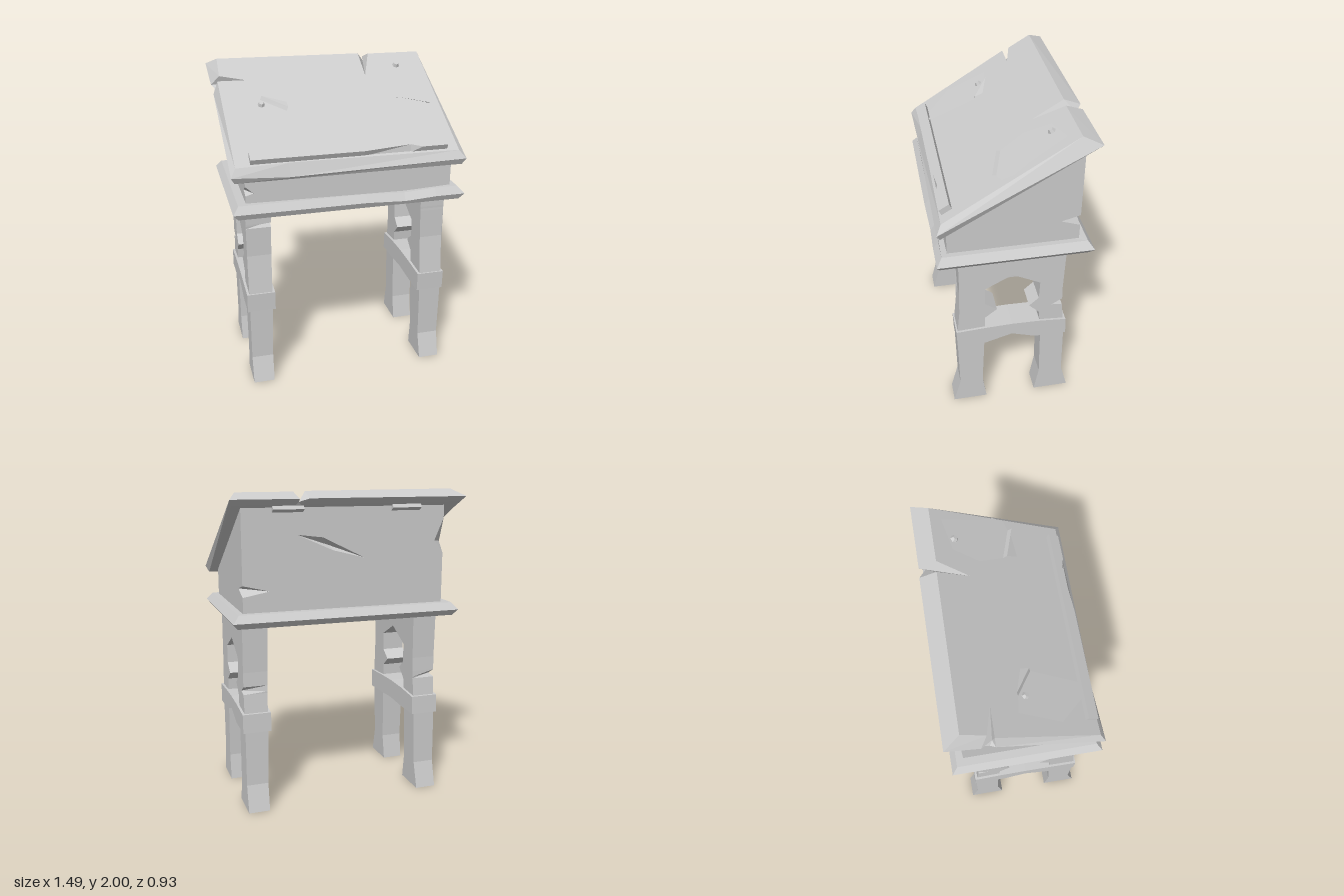
import * as THREE from 'three';

const grey = new THREE.MeshStandardMaterial({ color: 0xcccccc, flatShading: true });
const sheet = new THREE.MeshStandardMaterial({ color: 0xcccccc, flatShading: true, side: THREE.DoubleSide });
const V = (p) => new THREE.Vector3(...p);

// Triangles of one flat polygon (corners counter-clockwise from outside), with optional holes
function facet(points, holes = []) {
  const pts = points.map(V), n = new THREE.Vector3();
  pts.forEach((p, i) => n.add(p.clone().cross(pts[(i + 1) % pts.length])));
  if (n.length() < 1e-9) return [];
  n.normalize();
  const u = pts[1].clone().sub(pts[0]).normalize(), v = n.clone().cross(u);
  const flat = (p) => new THREE.Vector2(p.dot(u), p.dot(v));
  const holePts = holes.map((h) => h.map(V));
  const all = [...pts, ...holePts.flat()];
  return THREE.ShapeUtils.triangulateShape(pts.map(flat), holePts.map((h) => h.map(flat)))
    .flat().flatMap((i) => all[i].toArray());
}

function solid(name, triangles, material = grey) {
  const geo = new THREE.BufferGeometry();
  geo.setAttribute('position', new THREE.Float32BufferAttribute(triangles.flat(), 3));
  geo.computeVertexNormals();
  const mesh = new THREE.Mesh(geo, material);
  mesh.name = name;
  return mesh;
}

// Closed solid through rings listed bottom to top, each counter-clockwise from above
function loft(name, rings) {
  const tris = [facet([...rings[0]].reverse()), facet(rings[rings.length - 1])];
  for (let r = 0; r + 1 < rings.length; r++) {
    const a = rings[r], b = rings[r + 1];
    a.forEach((p, i) => {
      const j = (i + 1) % a.length;
      tris.push(facet([p, a[j], b[j]]), facet([p, b[j], b[i]]));
    });
  }
  return solid(name, tris);
}

// Profile in (z, y) extruded along x; the rule moves each vertex (outer: on the outside face)
function sidePanel(name, profile, side, rule) {
  const shape = new THREE.Shape(profile.map(([z, y]) => new THREE.Vector2(-z, y)));
  const geo = new THREE.ExtrudeGeometry(shape, { depth: 1, bevelEnabled: false }).rotateY(Math.PI / 2);
  const pos = geo.attributes.position, p = new THREE.Vector3();
  for (let i = 0; i < pos.count; i++) {
    p.fromBufferAttribute(pos, i);
    rule(p, (p.x > 0.5) === (side > 0));
    pos.setXYZ(i, p.x, p.y, p.z);
  }
  geo.computeVertexNormals();
  const mesh = new THREE.Mesh(geo, grey);
  mesh.name = name;
  return mesh;
}

// Sloping board surface: point at (x, z), raised by h along the surface normal
const slope = 0.6, tilt = Math.atan(slope);
const onBoard = (x, z, h = 0) =>
  [x, 1.52 + slope * (0.43 - z) + h * Math.cos(tilt), z + h * Math.sin(tilt)];

function makeLegFrame(side) {
  const frame = new THREE.Group();
  frame.name = side > 0 ? 'leftLegFrame' : 'rightLegFrame';
  const mid = 0.0125; // the frames stand slightly off centre
  const near = (a, b) => Math.abs(a - b) < 1e-3;
  const legs = [
    [0.395, 0], [0.175, 0], [0.2, 0.17], [0.185, 0.55], [0.18, 0.73], [0.105, 0.79], [0.18, 0.845],
    [0.18, 0.965], [0.01, 1.055], [-0.165, 0.965], [-0.16, 0.84], [-0.1, 0.785], [-0.165, 0.72],
    [-0.18, 0.55], [-0.185, 0.17], [-0.155, 0], [-0.385, 0], [-0.34, 0.17], [-0.335, 0.55],
    [-0.312, 0.76], [-0.245, 0.77], [-0.312, 0.81], [-0.31, 0.9], [-0.32, 1.22],
    [0.34, 1.22], [0.337, 1.12], [0.28, 1.105], [0.336, 1.09], [0.33, 0.9], [0.36, 0.6], [0.35, 0.17],
  ];
  frame.add(sidePanel('legs', legs, side, (p, outer) => {
    // chips bite into one face only
    if (near(p.z, -0.245) && !outer) p.z = -0.312;
    if (near(p.z, 0.28) && (outer || side > 0)) p.z = 0.336;
    p.x = mid + side * (outer ? 0.648 : 0.513 - 0.025 * p.y / 1.2);
  }));
  const bar = [
    [0.365, 0.645], [0.36, 0.52], [0.18, 0.525], [0.01, 0.575], [-0.14, 0.525], [-0.345, 0.52],
    [-0.34, 0.64], [-0.16, 0.655], [0.01, 0.66], [0.18, 0.655],
  ];
  frame.add(sidePanel('crossBar', bar, side, (p, outer) => {
    if (near(p.y, 0.575) && !outer) p.y = 0.535;
    p.x = mid + side * (outer ? 0.663 : 0.483);
  }));
  return frame;
}

function makeCabinet() {
  const x0 = -0.635, x1 = 0.665, zf = 0.4, zb = -0.385, y0 = 1.27, yf = 1.465, yb = 1.91;
  // each corner chip: top, bottom, left apex, right apex as seen from outside
  const c = [[x1, 1.45, zb], [x1, 1.38, zb], [x1, 1.42, -0.27], [0.5, 1.41, zb]];
  const d = [[x0, 1.82, zb], [x0, 1.6, zb], [-0.575, 1.68, zb], [x0, 1.67, -0.33]];
  const e = [[x0, 1.39, zf], [x0, 1.33, zf], [x0, 1.35, 0.33], [-0.585, 1.345, zf]];
  const gouge = [[0.33, 1.74, zb], [0.1, 1.64, zb], [-0.1, 1.59, zb], [0.167, 1.72, zb]];
  const tris = [
    facet([[x0, y0, zf], [x1, y0, zf], [x1, yf, zf], [x0, yf, zf], e[0], e[3], e[1]]),
    facet([[x1, y0, zf], [x1, y0, zb], c[1], c[2], c[0], [x1, yb, zb], [x1, yf, zf]]),
    facet([[x1, y0, zb], [x0, y0, zb], d[1], d[2], d[0], [x0, yb, zb], [x1, yb, zb], c[0], c[3], c[1]], [gouge]),
    facet([[x0, y0, zb], [x0, y0, zf], e[1], e[2], e[0], [x0, yf, zf], [x0, yb, zb], d[0], d[3], d[1]]),
  ];
  for (const [top, low, l, r] of [c, d, e]) tris.push(facet([top, l, r]), facet([low, r, l]));
  gouge.forEach((p, i) => tris.push(facet([p, gouge[(i + 1) % 4], [0.12, 1.67, -0.34]])));
  return solid('cabinet', tris);
}

function makeBoard() {
  // outlines in (x, z) with grooves at the back edge and at one side
  const low = [[-0.7, 0.44], [-0.37, 0.44], [0.72, 0.44], [0.72, -0.41], [0.34, -0.41], [0.31, -0.41],
    [0.27, -0.41], [-0.72, -0.42], [-0.715, -0.27], [-0.715, -0.22], [-0.71, -0.18]];
  const middle = [[-0.72, 0.46], [-0.37, 0.45], [0.74, 0.46], [0.74, -0.455], [0.33, -0.456], [0.325, -0.42],
    [0.27, -0.46], [-0.745, -0.465], [-0.735, -0.27], [-0.69, -0.205], [-0.73, -0.19]];
  const top = [[-0.69, 0.43], [-0.37, 0.42], [0.7, 0.43], [0.69, -0.35], [0.34, -0.352], [0.27, -0.175],
    [0.27, -0.358], [-0.68, -0.37], [-0.685, -0.23], [-0.52, -0.187], [-0.7, -0.19]];
  return loft('slopingBoard', [
    low.map(([x, z]) => [x, 1.43 + 0.57 * (0.44 - z), z]),
    middle.map(([x, z]) => [x, 1.47 + 0.525 * (0.46 - z) - (z === 0.45 ? 0.03 : 0), z]),
    top.map(([x, z]) => onBoard(x, z)),
  ]);
}

// Paper sheet lifting towards its lower end, creased along a-b with a raised tip
function makePaper(name, body, a, b, tip, zTop, shift) {
  const at = ([x, z], up = 0) => onBoard(x, z, 0.006 + Math.max(0, z - zTop) * 0.05 + up);
  const a2 = at([a[0] + shift[0], a[1] + shift[1]], 0.018), b2 = at([b[0] + shift[0], b[1] + shift[1]], 0.018);
  return solid(name, [
    facet(body.map((p) => at(p))), facet([at(a), at(b), b2, a2]),
    facet([a2, b2, ...tip.map((p) => at(p, 0.01))]),
  ], sheet);
}

export function createModel() {
  const model = new THREE.Group();
  model.name = 'writingDesk';
  model.add(makeLegFrame(1), makeLegFrame(-1), makeCabinet(), makeBoard());

  // Bevelled shelf under the cabinet, with a chipped front edge
  const ring = (y, l, r, f, b, dip) => [[-l, y, f], [0.1, y, f], [0.35, y - dip, f - dip / 2], [0.55, y, f],
    [r, y, f], [r, y, -b], [-l, y, -b]];
  model.add(loft('shelf', [
    ring(1.203, 0.69, 0.71, 0.45, 0.44, 0), ring(1.24, 0.72, 0.74, 0.468, 0.465, 0.015),
    ring(1.285, 0.685, 0.7, 0.435, 0.43, 0.015),
  ]));

  // Ledge along the lower edge of the board, with a chipped upper front edge
  const ledge = (h, zf, zb, chip) => [[-0.6, zf], [0.09, zf], [0.39, zf - chip], [0.46, zf], [0.625, zf],
    [0.625, zb], [-0.6, zb]].map(([x, z]) => onBoard(x, z, h));
  model.add(loft('ledge', [ledge(-0.005, 0.415, 0.355, 0), ledge(0.035, 0.412, 0.352, 0.022)]));

  // Papers
  model.add(makePaper('leftPaper',
    [[-0.56, -0.04], [-0.615, 0.2], [-0.48, 0.335], [-0.375, 0.355], [-0.31, 0.07], [-0.46, -0.025]],
    [-0.46, -0.025], [-0.31, 0.07], [[-0.3, 0.01]], 0, [0.01, -0.015]));
  model.add(makePaper('rightPaper',
    [[0.43, -0.25], [0.37, -0.11], [0.41, 0.03], [0.61, 0.09], [0.67, 0.07], [0.685, 0.01], [0.66, -0.06], [0.62, -0.29]],
    [0.41, 0.03], [0.61, 0.09], [[0.6, 0.095], [0.425, 0.11]], -0.25, [0.005, 0.015]));

  // Nails holding the papers
  for (const [x, z] of [[-0.46, 0.015], [0.5, -0.235]]) {
    const nail = new THREE.Mesh(new THREE.CylinderGeometry(0.015, 0.026, 0.025, 6), grey);
    nail.name = 'nail';
    nail.position.set(...onBoard(x, z, 0.015));
    nail.rotation.x = tilt;
    model.add(nail);
  }

  // Hinge blocks at the back
  for (const x of [0.385, -0.37]) {
    const hinge = new THREE.Mesh(new THREE.BoxGeometry(0.19, 0.035, 0.04), grey);
    hinge.name = 'hinge';
    hinge.position.set(x, 1.895, -0.39);
    hinge.rotation.x = tilt;
    model.add(hinge);
  }
  return model;
}
